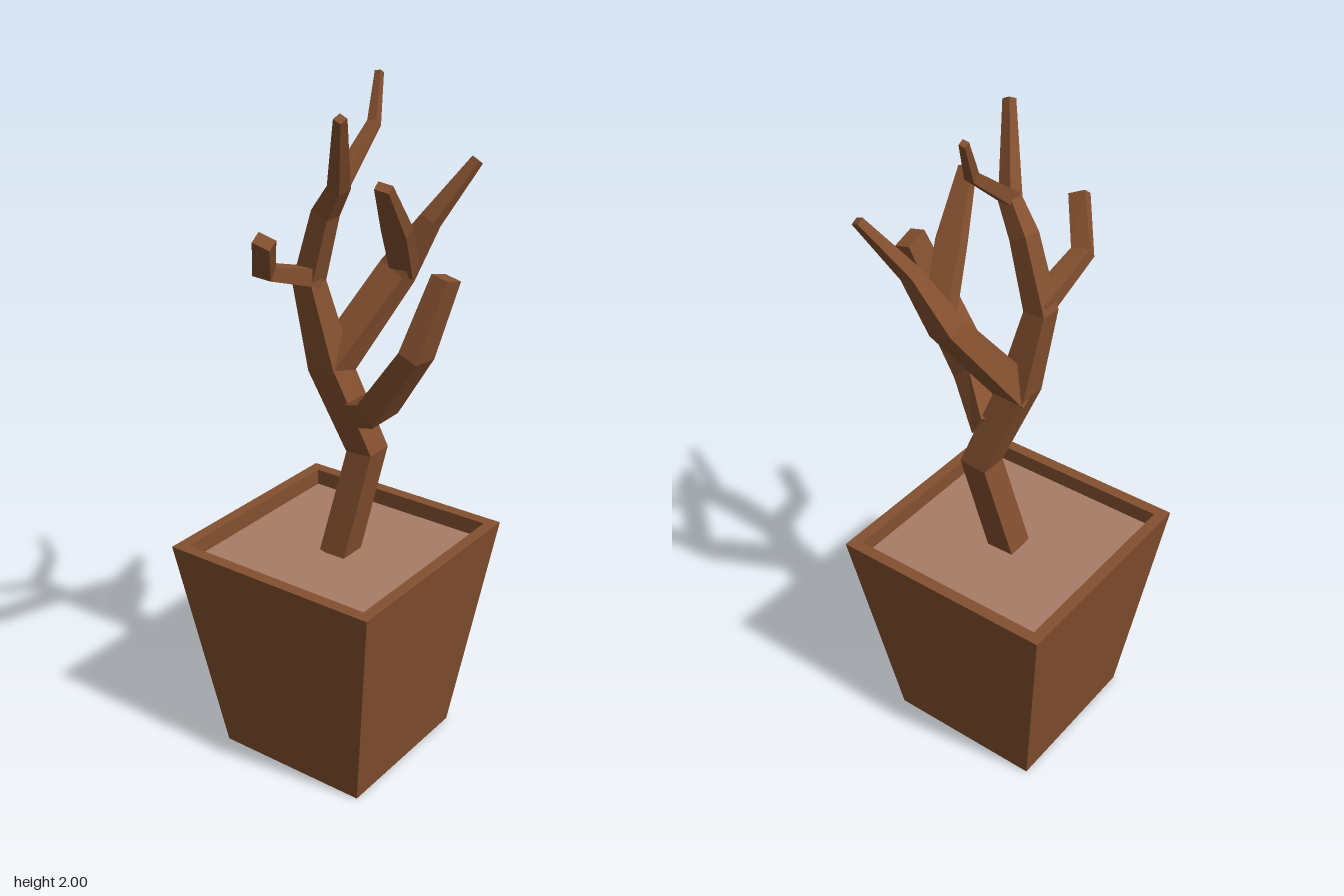
import * as THREE from 'three';

const bark = new THREE.MeshStandardMaterial({ color: 0x84502f, flatShading: true });
const earth = new THREE.MeshStandardMaterial({ color: 0xa87c66, flatShading: true });
const X = new THREE.Vector3(1, 0, 0);
const Z = new THREE.Vector3(0, 0, 1);

function part(name, geometry, material) {
  const flat = geometry.index ? geometry.toNonIndexed() : geometry;
  flat.computeVertexNormals();
  const mesh = new THREE.Mesh(flat, material);
  mesh.name = name;
  return mesh;
}

// Four-sided limb through nodes [x, y, z, width along ref, thickness]
function limb(name, ref, nodes) {
  const pts = nodes.map(n => new THREE.Vector3(n[0], n[1], n[2]));
  const last = pts.length - 1;
  const dir = i => pts[i + 1].clone().sub(pts[i]).normalize();
  const pos = [];
  const idx = [];
  pts.forEach((p, i) => {
    const t = dir(Math.min(i, last - 1)).add(dir(Math.max(i - 1, 0))).normalize();
    const s = ref.clone().addScaledVector(t, -ref.dot(t)).normalize();
    const u = t.clone().cross(s);
    const [w, h = w] = nodes[i].slice(3);
    for (const [a, b] of [[1, 1], [-1, 1], [-1, -1], [1, -1]]) {
      const v = p.clone().addScaledVector(s, a * w / 2).addScaledVector(u, b * h / 2);
      pos.push(v.x, v.y, v.z);
    }
    if (i === last) return;
    for (let k = 0; k < 4; k++) {
      const a = i * 4 + k, b = i * 4 + (k + 1) % 4;
      idx.push(a, b, b + 4, a, b + 4, a + 4);
    }
  });
  const e = last * 4;
  idx.push(0, 2, 1, 0, 3, 2, e, e + 1, e + 2, e, e + 2, e + 3);
  const g = new THREE.BufferGeometry();
  g.setAttribute('position', new THREE.Float32BufferAttribute(pos, 3));
  g.setIndex(idx);
  return part(name, g, bark);
}

export function createModel() {
  const model = new THREE.Group();
  model.name = 'pottedTree';

  // Square tapered pot with a flat rim and a recessed soil bed
  const profile = [[0, 0], [0.243, 0], [0.343, 0.69], [0.308, 0.69], [0.308, 0.63]]
    .map(([r, y]) => new THREE.Vector2(r * Math.SQRT2, y));
  const pot = part('pot', new THREE.LatheGeometry(profile, 4, Math.PI / 4), bark);
  const soil = part('soil', new THREE.PlaneGeometry(0.616, 0.616).rotateX(-Math.PI / 2), earth);
  soil.position.y = 0.64;
  const planter = new THREE.Group();
  planter.name = 'planter';
  planter.position.z = -0.014;
  planter.add(pot, soil);

  // Bare tree: crooked trunk with forking branches
  const tree = new THREE.Group();
  tree.name = 'tree';
  tree.add(
    limb('trunk', X, [
      [0.003, 0.63, -0.013, 0.085], [0.06, 0.96, 0.043, 0.085], [0.003, 1.22, -0.048, 0.088],
      [-0.03, 1.46, -0.09, 0.066], [-0.035, 1.66, -0.03, 0.056], [-0.05, 1.74, 0.025, 0.045],
      [-0.167, 1.947, 0.115, 0.025]]),
    limb('topTwig', Z, [
      [-0.055, 1.74, 0.025, 0.04], [0.12, 1.875, 0.015, 0.028], [0.188, 1.995, -0.017, 0.018]]),
    limb('rightBranch', Z, [
      [-0.02, 1.47, -0.085, 0.065, 0.05], [-0.23, 1.54, -0.083, 0.055, 0.04],
      [-0.318, 1.655, -0.008, 0.05, 0.035]]),
    limb('leftBranch', Z, [
      [0.003, 1.2, -0.048, 0.09, 0.085], [0.182, 1.46, 0.055, 0.09, 0.065],
      [0.222, 1.61, 0.135, 0.05, 0.04], [0.31, 1.77, 0.222, 0.028, 0.022]]),
    limb('crossingBranch', Z, [
      [0.19, 1.47, 0.075, 0.07, 0.05], [0.05, 1.625, 0.14, 0.075, 0.04],
      [-0.08, 1.77, 0.185, 0.042, 0.025]]),
    limb('frontBranch', X, [
      [0.045, 1.08, 0.02, 0.09, 0.07], [-0.06, 1.155, 0.16, 0.095, 0.075],
      [-0.066, 1.34, 0.285, 0.095, 0.06], [-0.008, 1.545, 0.332, 0.075, 0.05]])
  );

  model.add(planter, tree);
  return model;
}
